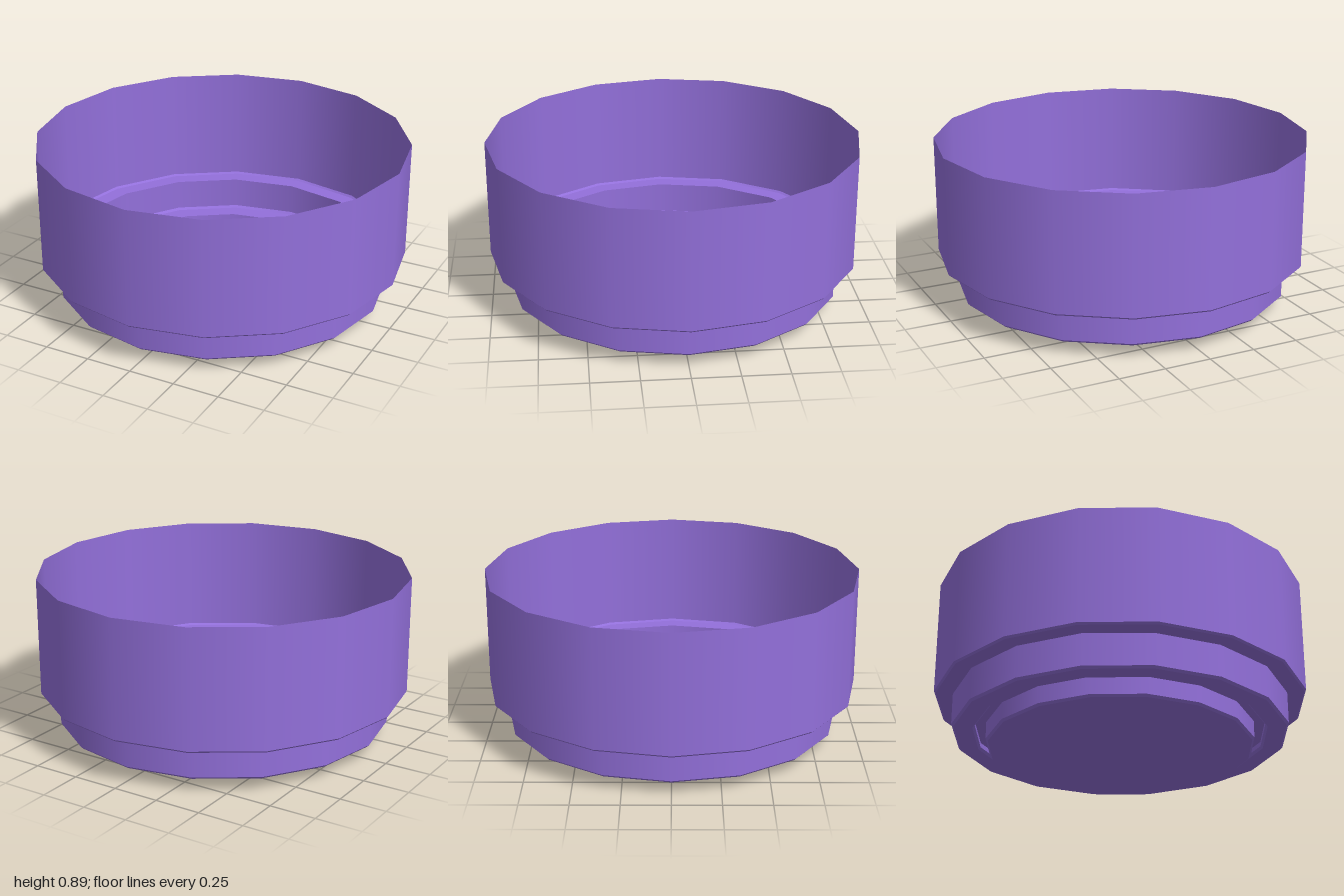
import * as THREE from 'three';
import { mergeGeometries } from 'three/addons/utils/BufferGeometryUtils.js';

const SIDES = 16;

// Revolves each straight run separately: smooth around, sharp between runs
function revolve(profile) {
  const runs = [];
  for (let i = 0; i < profile.length - 1; i++) {
    const pair = [profile[i], profile[i + 1]].map(([r, y]) => new THREE.Vector2(r, y));
    runs.push(new THREE.LatheGeometry(pair, SIDES));
  }
  return mergeGeometries(runs);
}

export function createModel() {
  const group = new THREE.Group();
  group.name = 'steppedBowl';
  const material = new THREE.MeshStandardMaterial({ color: 0x9370db, side: THREE.DoubleSide });

  // Thin shell, [radius, height] from the centre of the floor out to the rim
  const parts = {
    // Floor disc with bevelled edge and short wall
    foot: [[0, 0], [0.705, 0], [0.717, 0.012], [0.717, 0.105]],
    // Recess around the foot, bevelled at its outer lip
    footGroove: [[0.717, 0.105], [0.777, 0.105], [0.777, 0.08], [0.789, 0.068]],
    // Narrow middle step
    lowerBand: [[0.789, 0.068], [0.888, 0.068], [0.9, 0.08], [0.9, 0.252]],
    // Tall open wall
    upperWall: [[0.9, 0.252], [0.99, 0.252], [1, 0.262], [1, 0.895]],
  };

  for (const [name, profile] of Object.entries(parts)) {
    const mesh = new THREE.Mesh(revolve(profile), material);
    mesh.name = name;
    group.add(mesh);
  }
  return group;
}
